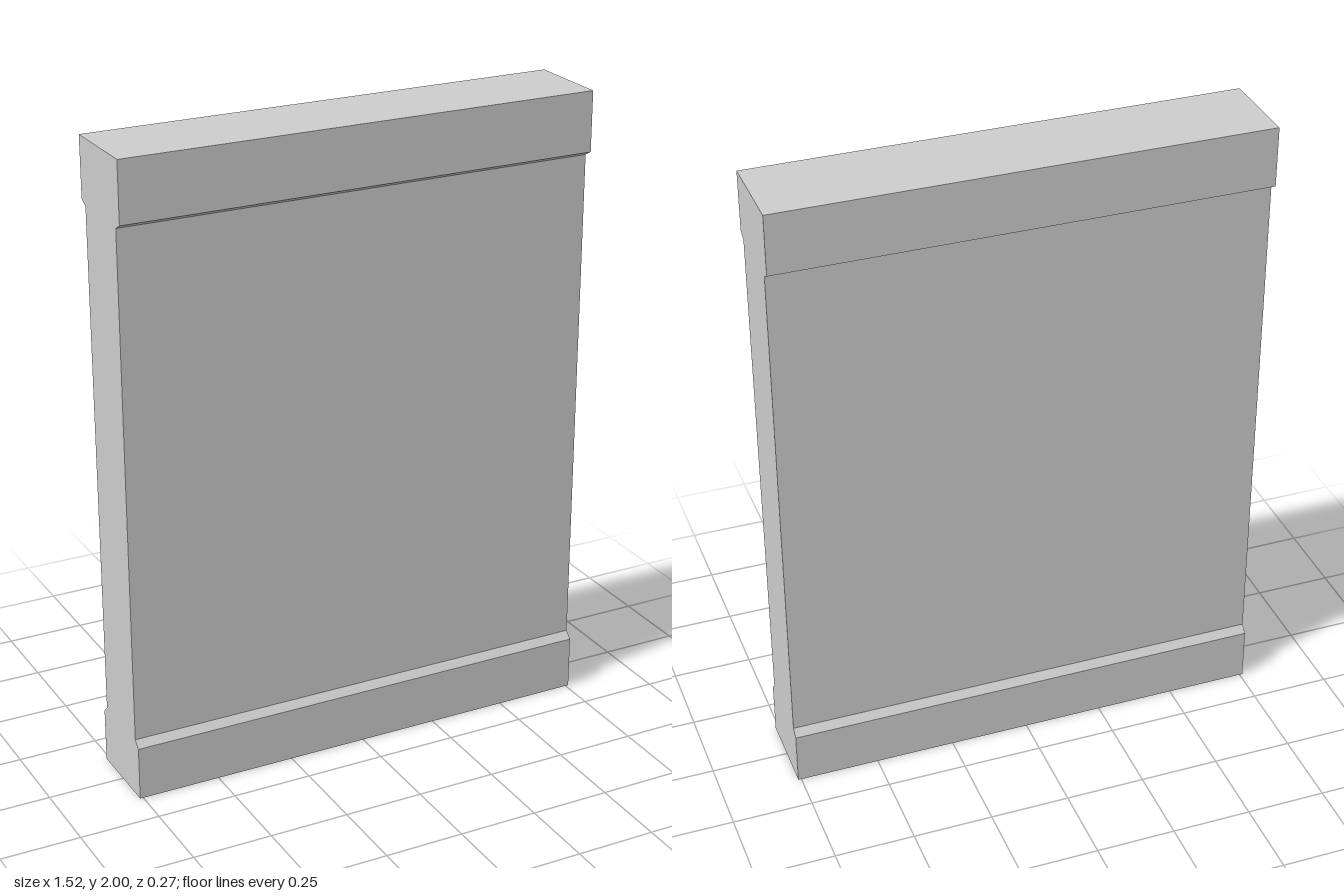
import * as THREE from 'three';

const WIDTH = 1.52;

export function createModel() {
  const group = new THREE.Group();
  group.name = 'wallPanel';

  // Half profile (depth, height): plinth, chamfer, slab, chamfer, coping
  const half = [
    [0.132, 0], [0.132, 0.17], [0.11, 0.192],
    [0.11, 1.797], [0.137, 1.812], [0.137, 2],
  ];
  const mirrored = half.map(([z, y]) => [-z, y]).reverse();
  const profile = new THREE.Shape([...half, ...mirrored].map(([z, y]) => new THREE.Vector2(z, y)));

  // Sweep the profile across the full width
  const geometry = new THREE.ExtrudeGeometry(profile, { depth: WIDTH, bevelEnabled: false });
  geometry.rotateY(-Math.PI / 2);
  geometry.translate(WIDTH / 2, 0, 0);

  const wall = new THREE.Mesh(
    geometry,
    new THREE.MeshStandardMaterial({ color: 0xcccccc, flatShading: true })
  );
  wall.name = 'wallWithPlinthAndCoping';
  group.add(wall);
  return group;
}
